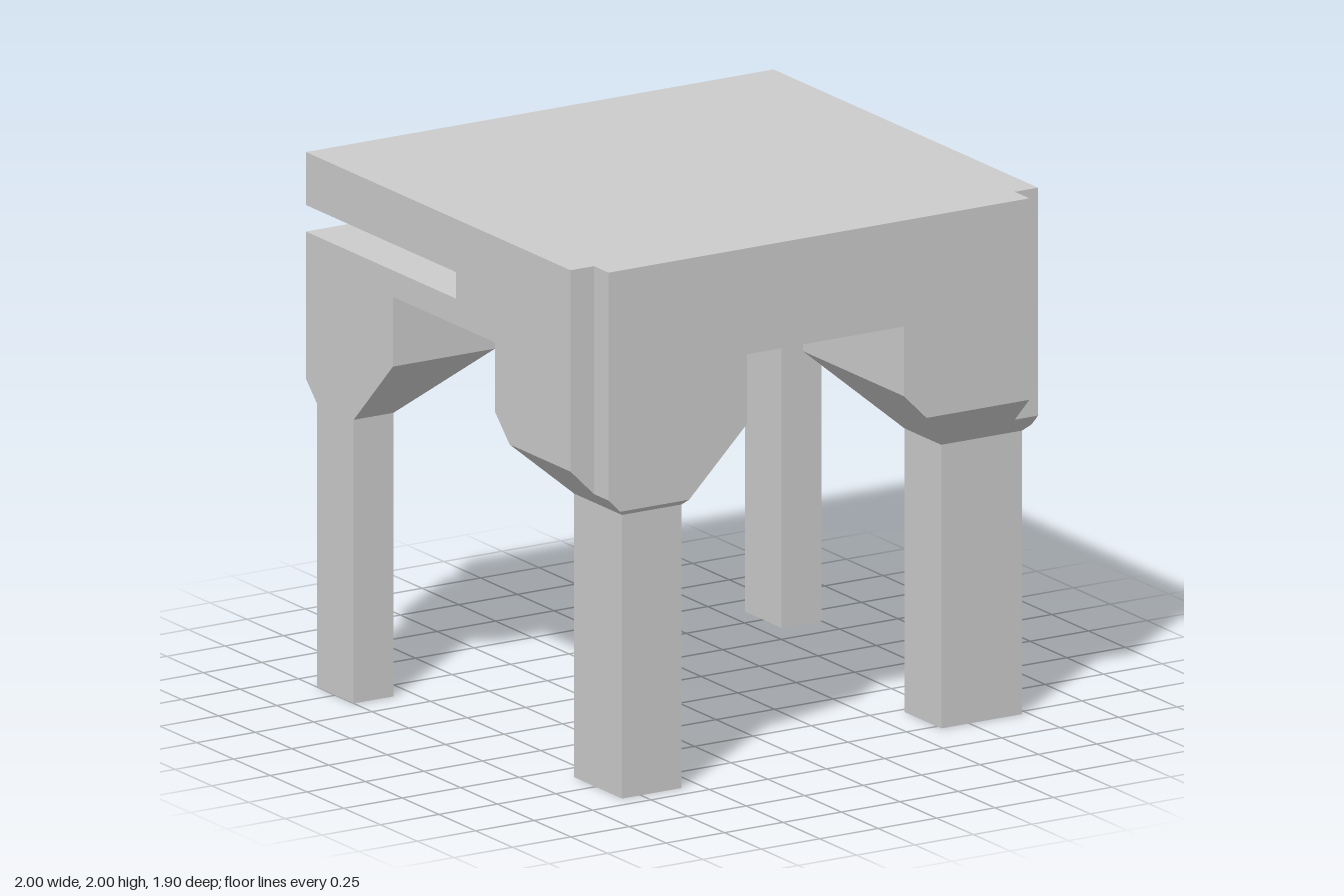
import * as THREE from 'three';

const material = new THREE.MeshStandardMaterial({ color: 0xcccccc, flatShading: true });
const LEG_TOP = 1.07, FLARE = 0.267, APRON = 1.6;
const NOTCH = { x: 0.9, z: 0.85 }, EDGE = { x: 1, z: 0.95 };

// Horizontal slab cut from a plan outline given as [x, z] points
function slab(name, outline, y0, y1, hole) {
  const toV = ([x, z]) => new THREE.Vector2(x, -z);
  const shape = new THREE.Shape(outline.map(toV));
  if (hole) shape.holes.push(new THREE.Path(hole.map(toV)));
  const geo = new THREE.ExtrudeGeometry(shape, { depth: y1 - y0, bevelEnabled: false });
  geo.rotateX(-Math.PI / 2).translate(0, y0, 0);
  const mesh = new THREE.Mesh(geo, material);
  mesh.name = name;
  return mesh;
}

// Bracket that flares at 45 degrees from the leg and is trimmed by the table edge.
// u and v are distances from the centre along x and z.
function bracket({ u, v, sx, sz }) {
  const notch = sz > 0 ? NOTCH : EDGE;
  const section = (d, y) => {
    const u0 = u[0] - d, v0 = v[0] - d;
    const u1 = Math.min(u[1] + d, EDGE.x), v1 = Math.min(v[1] + d, EDGE.z);
    const n = Math.min(u1, notch.x), w = Math.min(v1, notch.z);
    return [[u0, v0], [u1, v0], [u1, w], [n, w], [n, v1], [u0, v1]]
      .map(([a, b]) => new THREE.Vector3(sx * a, y, sz * b));
  };
  // Levels wherever a flared side meets a trimming edge
  const levels = [EDGE.x - u[1], EDGE.z - v[1], notch.x - u[1], notch.z - v[1]]
    .filter((d) => d > 0.001 && d < FLARE).sort((a, b) => a - b);
  const loops = [0, ...levels, FLARE].map((d) => section(d, LEG_TOP + d));
  loops.push(section(FLARE, APRON));

  const points = [];
  const tri = (a, b, c) => {
    if (new THREE.Triangle(a, b, c).getArea() < 1e-7) return;
    points.push(...(sx * sz > 0 ? [a, b, c] : [a, c, b]));
  };
  for (let k = 0; k < loops.length - 1; k++) {
    const lo = loops[k], hi = loops[k + 1];
    for (let i = 0; i < 6; i++) {
      const j = (i + 1) % 6;
      tri(lo[i], hi[i], lo[j]);
      tri(hi[i], hi[j], lo[j]);
    }
  }
  const top = loops[loops.length - 1];
  for (let i = 1; i < 5; i++) tri(top[0], top[i + 1], top[i]);

  const geo = new THREE.BufferGeometry().setFromPoints(points);
  geo.computeVertexNormals();
  const mesh = new THREE.Mesh(geo, material);
  mesh.name = 'legBracket';
  return mesh;
}

function leg({ u, v, sx, sz }) {
  const mesh = new THREE.Mesh(new THREE.BoxGeometry(u[1] - u[0], LEG_TOP, v[1] - v[0]), material);
  mesh.position.set(sx * (u[0] + u[1]) / 2, LEG_TOP / 2, sz * (v[0] + v[1]) / 2);
  mesh.name = 'leg';
  return mesh;
}

export function createModel() {
  const model = new THREE.Group();
  model.name = 'table';

  // Plan outline: front corners are notched
  const front = [[1, 0.85], [0.9, 0.85], [0.9, 0.95], [-0.9, 0.95], [-0.9, 0.85], [-1, 0.85]];
  const plain = [...front, [-1, -0.95], [1, -0.95]];

  // Middle layer: corner slot along one side and two pockets in the back
  const slotted = [...front, [-1, 0.07], [-0.81, 0.07], [-0.81, -0.95]];
  const pocketDepth = 0.3;
  for (const [a, b] of [[0.07, 0.37], [0.66, 0.96]]) {
    slotted.push([a, -0.95], [a, -0.95 + pocketDepth], [b, -0.95 + pocketDepth], [b, -0.95]);
  }
  slotted.push([1, -0.95]);

  // Recess in the underside
  const rx = 0.565, rz = 0.65;
  const recess = [[-rx, -rz], [rx, -rz], [rx, rz], [-rx, rz]];

  model.add(
    slab('tabletop', plain, 1.8, 2),
    slab('slottedLayer', slotted, 1.7, 1.8),
    slab('apronFrame', plain, APRON, 1.7, recess),
  );

  // Legs with their brackets
  const legs = [
    { name: 'frontLeftLeg', sx: 1, sz: 1, u: [0.63, 0.975], v: [0.53, 0.78] },
    { name: 'frontRightLeg', sx: -1, sz: 1, u: [0.575, 0.83], v: [0.605, 0.93] },
    { name: 'backLeftLeg', sx: 1, sz: -1, u: [0.83, 1], v: [0.625, 0.875] },
    { name: 'backRightLeg', sx: -1, sz: -1, u: [0.83, 1], v: [0.625, 0.875] },
  ];
  for (const spec of legs) {
    const group = new THREE.Group();
    group.name = spec.name;
    group.add(leg(spec), bracket(spec));
    model.add(group);
  }
  return model;
}
